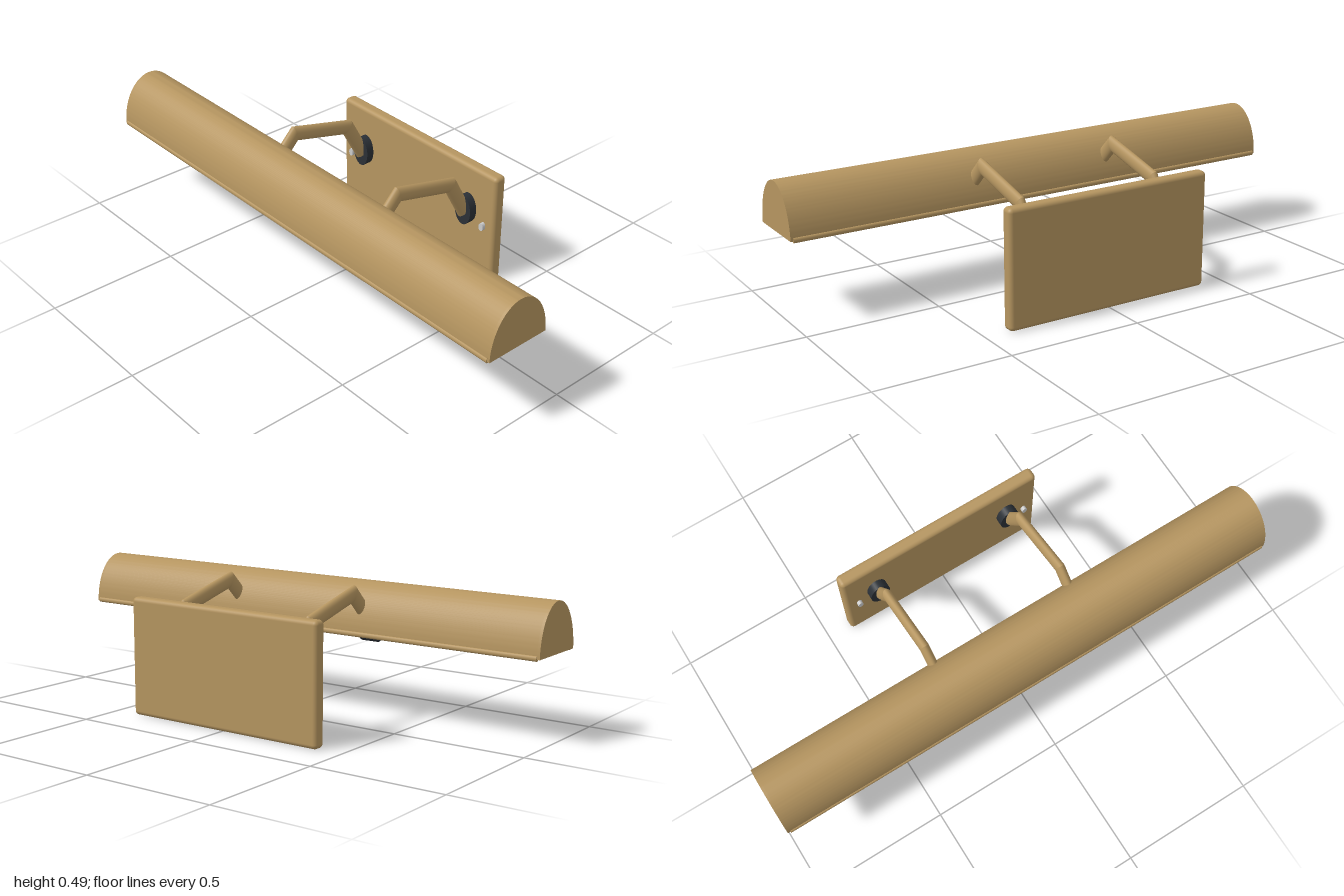
import * as THREE from 'three';
import { toCreasedNormals } from 'three/addons/utils/BufferGeometryUtils.js';
import { RoundedBoxGeometry } from 'three/addons/geometries/RoundedBoxGeometry.js';

const brass = new THREE.MeshStandardMaterial({ color: 0xb59560 });
const dark = new THREE.MeshStandardMaterial({ color: 0x2b3036 });
const bulb = new THREE.MeshStandardMaterial({ color: 0x8a8068 });
const grey = new THREE.MeshStandardMaterial({ color: 0xcccccc });

// Round bar along the bent path [z, y], mitred at the bends, oval across x
function armGeometry(path, r, rx, sides = 24) {
  const pts = path.map(([z, y]) => new THREE.Vector2(z, y));
  const dirs = pts.slice(1).map((p, i) => p.clone().sub(pts[i]).normalize());
  const pos = [], idx = [];
  const across = pts.map((p, i) => {
    const a = dirs[Math.max(i - 1, 0)], b = dirs[Math.min(i, dirs.length - 1)];
    const t = a.clone().add(b).normalize();
    return new THREE.Vector2(-t.y, t.x).multiplyScalar(r / t.dot(a));
  });
  const ring = (i) => {
    const start = pos.length / 3;
    for (let k = 0; k < sides; k++) {
      const a = (k / sides) * Math.PI * 2, s = Math.sin(a);
      pos.push(rx * Math.cos(a), pts[i].y + across[i].y * s, pts[i].x + across[i].x * s);
    }
    return start;
  };
  for (let i = 0; i < dirs.length; i++) {
    const a = ring(i), b = ring(i + 1);
    for (let k = 0; k < sides; k++) {
      const n = (k + 1) % sides;
      idx.push(a + k, a + n, b + k, a + n, b + n, b + k);
    }
  }
  // flat ends
  const first = ring(0), last = ring(pts.length - 1);
  for (let k = 1; k < sides - 1; k++) {
    idx.push(first, first + k + 1, first + k, last, last + k, last + k + 1);
  }
  const g = new THREE.BufferGeometry();
  g.setAttribute('position', new THREE.Float32BufferAttribute(pos, 3));
  g.setIndex(idx);
  g.computeVertexNormals();
  return g;
}

// Half-oval profile, extruded along x and centred
function halfOval(rz, ry, length, wall) {
  const s = new THREE.Shape();
  s.moveTo(rz, 0);
  s.absellipse(0, 0, rz, ry, 0, Math.PI, false, 0);
  if (wall) {
    s.lineTo(-rz + wall, 0);
    s.absellipse(0, 0, rz - wall, ry - wall, Math.PI, 0, true, 0);
  }
  s.closePath();
  const g = new THREE.ExtrudeGeometry(s, { depth: length, bevelEnabled: false, curveSegments: 40 });
  g.translate(0, 0, -length / 2);
  g.rotateY(Math.PI / 2);
  return toCreasedNormals(g, 0.5);
}

export function createModel() {
  const model = new THREE.Group();
  const add = (name, geometry, material, x, y, z) => {
    const m = new THREE.Mesh(geometry, material);
    m.name = name;
    m.position.set(x, y, z);
    model.add(m);
    return m;
  };

  // Wall plate
  add('wallPlate', new RoundedBoxGeometry(0.82, 0.437, 0.05, 4, 0.016), brass, 0, 0.2185, -0.318);

  // Hollow shade, open underneath
  add('shade', halfOval(0.125, 0.182, 1.98, 0.006), brass, 0, 0.31, 0.213);
  const capGeometry = halfOval(0.125, 0.182, 0.01);
  for (const side of [-1, 1]) add('shadeEnd', capGeometry, brass, side * 0.995, 0.31, 0.213);

  // Beads along the lower edges of the shade
  for (const z of [0.089, 0.336]) {
    const bead = add('edgeBead', new THREE.CylinderGeometry(0.007, 0.007, 1.98, 16), brass, 0, 0.313, z);
    bead.rotation.z = Math.PI / 2;
    bead.scale.x = 1.35;
  }

  // Light strip inside the shade
  add('lightStrip', new THREE.BoxGeometry(1.84, 0.018, 0.11), bulb, 0, 0.329, 0.2);

  const arm = armGeometry([[0.128, 0.395], [0.06, 0.463], [-0.193, 0.398], [-0.269, 0.259]], 0.028, 0.0178);
  for (const side of [-1, 1]) {
    const x = side * 0.28;
    add('arm', arm, brass, x, 0, 0);

    // Oval mounting flange
    const flange = add('flange', new THREE.CylinderGeometry(0.06, 0.06, 0.032, 40), dark, x, 0.265, -0.278);
    flange.rotation.x = Math.PI / 2;
    flange.scale.x = 0.65;

    // Knuckle below the light strip
    const knuckle = add('knuckle', new THREE.CylinderGeometry(0.033, 0.033, 0.066, 32), dark, x, 0.308, 0.183);
    knuckle.rotation.z = Math.PI / 2;

    // Small screw in the wall plate
    const screw = add('screw', new THREE.CylinderGeometry(0.016, 0.016, 0.014, 20), grey, side * 0.358, 0.22, -0.286);
    screw.rotation.x = Math.PI / 2;
    screw.scale.x = 0.65;
  }
  return model;
}
